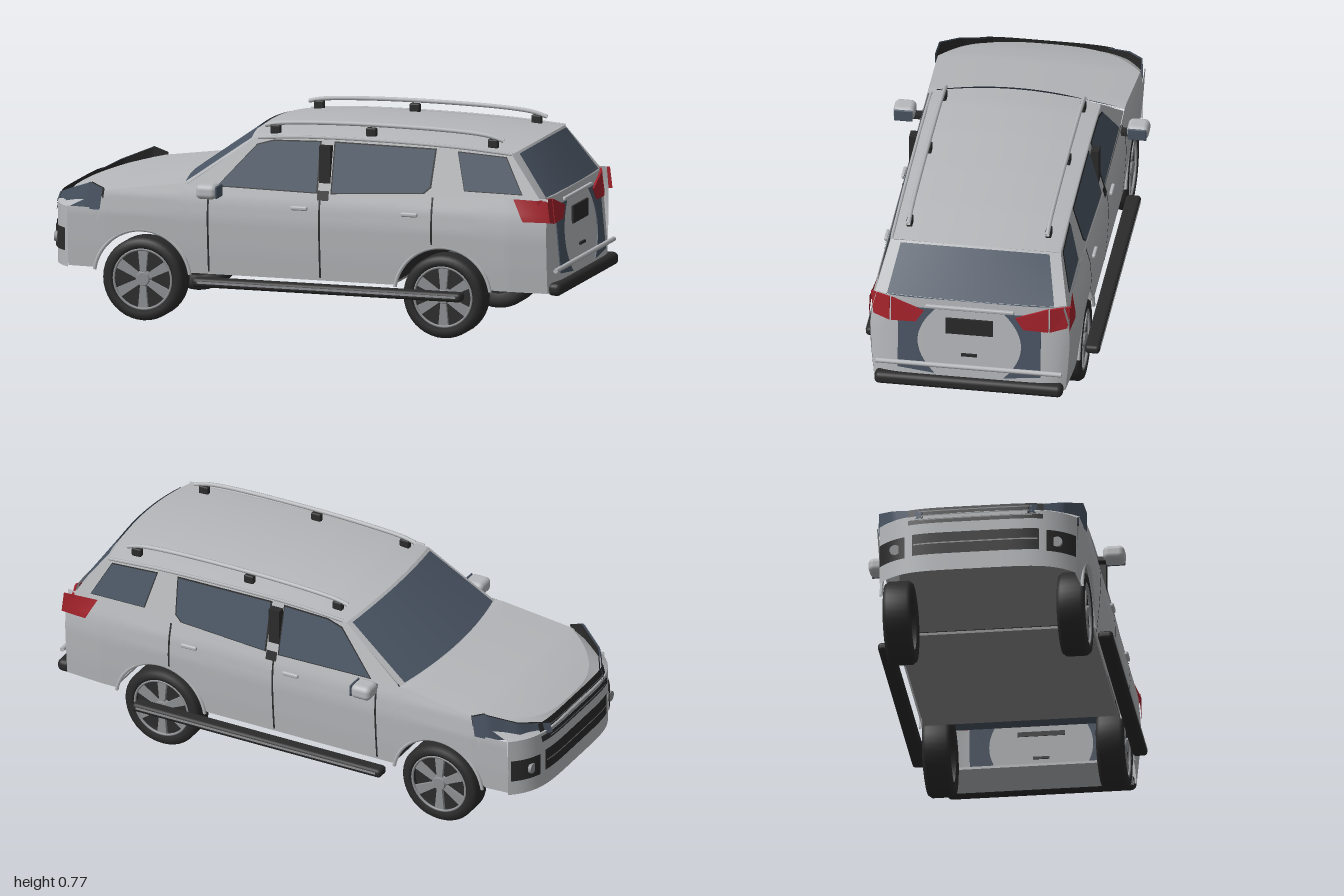
import * as THREE from 'three';
import { RoundedBoxGeometry } from 'three/addons/geometries/RoundedBoxGeometry.js';

const mat = (name, color) => new THREE.MeshStandardMaterial({ name, color, side: THREE.DoubleSide });
const M = {
  paint: mat('silver paint', 0xb6b8bb), glass: mat('tinted glass', 0x4a5564), black: mat('black plastic', 0x2b2b2b),
  red: mat('tail light red', 0xa3222b), rim: mat('wheel metal', 0x8d8f92), under: mat('underbody grey', 0x8c8c8c),
};
const lerp = THREE.MathUtils.lerp;
// piecewise linear profile through [position, value] pairs
function prof(p, x) {
  if (x <= p[0][0]) return p[0][1];
  for (let i = 1; i < p.length; i++) {
    if (x <= p[i][0]) return lerp(p[i - 1][1], p[i][1], (x - p[i - 1][0]) / (p[i][0] - p[i - 1][0]));
  }
  return p[p.length - 1][1];
}
function add(parent, name, geo, m, x = 0, y = 0, z = 0) {
  const o = new THREE.Mesh(geo, m);
  o.name = name;
  o.position.set(x, y, z);
  parent.add(o);
  return o;
}
// grid surface: f(u, v) with u, v in 0..1 gives [x, y, z]
function sheet(nu, nv, f) {
  const pos = [], idx = [];
  for (let i = 0; i <= nu; i++) for (let j = 0; j <= nv; j++) pos.push(...f(i / nu, j / nv));
  for (let i = 0; i < nu; i++) for (let j = 0; j < nv; j++) {
    const a = i * (nv + 1) + j, b = a + nv + 1;
    idx.push(a, b, a + 1, b, b + 1, a + 1);
  }
  const g = new THREE.BufferGeometry();
  g.setAttribute('position', new THREE.Float32BufferAttribute(pos, 3));
  g.setIndex(idx);
  g.computeVertexNormals();
  return g;
}
const polygon = pts => new THREE.Shape(pts.map(p => new THREE.Vector2(...p)));

// body rules
const AXLES = [-0.61, 0.55];
const hoodY = x => prof([[-0.97, 0.437], [-0.88, 0.465], [-0.78, 0.488], [-0.48, 0.53]], x);
const beltY = x => x < -0.78 ? 0.415 : x < -0.46 ? hoodY(x) - 0.01
  : prof([[-0.46, 0.522], [-0.32, 0.513], [0.1, 0.51], [0.6, 0.535], [0.95, 0.54]], x);
const sideZ = (x, y) => prof([[0.18, 0.366], [0.28, 0.376], [0.4, 0.384], [0.47, 0.379], [0.54, 0.36]], y)
  - prof([[-0.9, 0.01], [-0.75, 0], [0.8, 0], [0.95, 0.012]], x);
const cabinZ = y => 0.36 - (y - 0.52) * 0.26;
const roofY = x => prof([[-0.225, 0.715], [-0.1, 0.728], [0.1, 0.735], [0.35, 0.734], [0.6, 0.726], [0.83, 0.71]], x);
const frontX = z => -0.988 + 0.09 * Math.abs(z / 0.365) ** 5;
const hoodFrontX = t => -0.96 + 0.2 * Math.abs(t) ** 3;
const rearX = (z, y) => lerp(0.978, 0.945, (y - 0.19) / 0.35) - 0.028 * Math.abs(z / 0.365) ** 8;
const sillY = x => {
  let y = 0.19;
  for (const c of AXLES) if (Math.abs(x - c) < 0.188) y = Math.max(y, 0.155 + Math.sqrt(0.188 ** 2 - (x - c) ** 2));
  return y;
};
// thin plate laid on the tailgate, drawn in (-z, y)
function rearPlate(shape, depth) {
  const geo = new THREE.ExtrudeGeometry(shape, { depth, bevelEnabled: false, curveSegments: 16 }).rotateY(Math.PI / 2);
  const p = geo.attributes.position;
  for (let i = 0; i < p.count; i++) p.setX(i, p.getX(i) + rearX(p.getZ(i), p.getY(i)));
  geo.computeVertexNormals();
  return geo;
}

function wheel() {
  const g = new THREE.Group();
  g.name = 'wheel';
  // lathe axis runs across the car, outer face towards +z
  const tyre = [[0.1, -0.045], [0.125, -0.053], [0.145, -0.05], [0.155, -0.036], [0.155, 0.036], [0.145, 0.05], [0.125, 0.053], [0.114, 0.046], [0.112, 0.01]];
  add(g, 'tyre', new THREE.LatheGeometry(tyre.map(p => new THREE.Vector2(...p)), 40).rotateX(Math.PI / 2), M.black);
  add(g, 'wheelDish', new THREE.CylinderGeometry(0.112, 0.112, 0.03, 32).rotateX(Math.PI / 2), M.black, 0, 0, 0.005);
  add(g, 'rimRing', new THREE.TorusGeometry(0.111, 0.005, 8, 40), M.rim, 0, 0, 0.044);
  add(g, 'hub', new THREE.CylinderGeometry(0.024, 0.032, 0.02, 20).rotateX(Math.PI / 2), M.rim, 0, 0, 0.038);
  const spoke = polygon([[0.015, -0.01], [0.11, -0.019], [0.11, 0.019], [0.015, 0.01]]);
  for (let i = 0; i < 6; i++) {
    add(g, 'spoke', new THREE.ExtrudeGeometry(spoke, { depth: 0.012, bevelEnabled: false }), M.rim, 0, 0, 0.03).rotation.z = (i + 0.5) * Math.PI / 3;
  }
  return g;
}

function buildSide() {
  const g = new THREE.Group();
  g.name = 'bodySide';
  add(g, 'sidePanel', sheet(190, 14, (u, v) => {
    const x = lerp(-0.9, 0.95, u), y = lerp(sillY(x), beltY(x), v);
    return [x, y, sideZ(x, y)];
  }), M.paint);
  // cabin side with sloping pillars
  add(g, 'cabinSide', sheet(50, 8, (u, v) => {
    const xb = lerp(-0.445, 0.925, u), xt = lerp(-0.195, 0.8, u);
    const y = lerp(beltY(xb) - 0.008, roofY(xt) - 0.02, v);
    return [lerp(xb, xt, v), y, cabinZ(y)];
  }), M.paint);
  const windows = {
    frontWindow: [[-0.32, 0.522], [0.06, 0.517], [0.06, 0.697], [-0.12, 0.692], [-0.18, 0.675]],
    rearWindow: [[0.12, 0.518], [0.47, 0.538], [0.495, 0.56], [0.505, 0.694], [0.12, 0.698]],
    quarterWindow: [[0.63, 0.555], [0.85, 0.553], [0.78, 0.68], [0.595, 0.69]],
  };
  for (const [name, pts] of Object.entries(windows)) {
    for (const [grow, off, m] of [[1.05, 0.002, M.black], [1, 0.005, M.glass]]) {
      const geo = new THREE.ShapeGeometry(polygon(pts)), p = geo.attributes.position;
      geo.computeBoundingBox();
      const c = geo.boundingBox.getCenter(new THREE.Vector3());
      for (let i = 0; i < p.count; i++) {
        const y = c.y + (p.getY(i) - c.y) * grow;
        p.setXYZ(i, c.x + (p.getX(i) - c.x) * lerp(1, grow, 0.6), y, cabinZ(y) + off);
      }
      geo.computeVertexNormals();
      add(g, grow > 1 ? name + 'Seal' : name, geo, m);
    }
  }
  // centre pillar, its foot lying on the door
  add(g, 'centrePillar', new THREE.BoxGeometry(0.044, 0.19, 0.03), M.black, 0.088, 0.594, 0.337);
  add(g, 'centrePillarFoot', sheet(1, 4, (u, v) => {
    const y = lerp(0.49, 0.525, v);
    return [0.066 + u * 0.044, y, sideZ(0, y) + 0.003];
  }), M.black);
  // door gaps
  for (const [x, y0, y1] of [[-0.353, 0.2, 0.51], [0.077, 0.2, 0.5], [0.51, 0.35, 0.525]]) {
    add(g, 'doorGap', sheet(1, 10, (u, v) => {
      const y = lerp(y0, y1, v);
      return [x + (u - 0.5) * 0.007, y, sideZ(x, y) + 0.002];
    }), M.black);
  }
  for (const x of [0, 0.425]) add(g, 'doorHandle', new RoundedBoxGeometry(0.065, 0.016, 0.014, 3, 0.006), M.paint, x, 0.458, 0.386);
  // wheels and arch lips
  for (const x of AXLES) {
    add(g, 'archLip', new THREE.TorusGeometry(0.186, 0.007, 6, 32, Math.PI * 0.9), M.paint, x, 0.155, 0.372).rotation.z = Math.PI * 0.05;
    const w = wheel();
    w.position.set(x, 0.155, 0.322);
    g.add(w);
  }
  // side step
  add(g, 'sideStep', new RoundedBoxGeometry(1.04, 0.034, 0.056, 3, 0.014), M.black, 0.12, 0.166, 0.407);
  add(g, 'stepTrim', new THREE.BoxGeometry(1.0, 0.008, 0.006), M.rim, 0.12, 0.168, 0.433);
  // mirror
  add(g, 'mirrorShell', new RoundedBoxGeometry(0.08, 0.055, 0.08, 4, 0.02), M.paint, -0.335, 0.513, 0.434);
  add(g, 'mirrorGlass', new RoundedBoxGeometry(0.008, 0.046, 0.07, 3, 0.004), M.glass, -0.294, 0.513, 0.434);
  add(g, 'mirrorArm', new THREE.BoxGeometry(0.035, 0.016, 0.06), M.black, -0.33, 0.498, 0.378);
  // roof rail
  const path = new THREE.CatmullRomCurve3([[-0.17, 0.737], [-0.12, 0.748], [0.24, 0.762], [0.68, 0.748], [0.75, 0.73]].map(([x, y]) => new THREE.Vector3(x, y, 0.258)));
  add(g, 'roofRail', new THREE.TubeGeometry(path, 40, 0.008, 8), M.paint);
  for (const x of [-0.13, 0.24, 0.71]) add(g, 'railFoot', new RoundedBoxGeometry(0.04, 0.034, 0.022, 2, 0.006), M.black, x, roofY(x), 0.258);
  const gutter = [-0.18, 0, 0.3, 0.6, 0.8].map(x => new THREE.Vector3(x, roofY(x) - 0.02, 0.313));
  add(g, 'roofGutter', new THREE.TubeGeometry(new THREE.CatmullRomCurve3(gutter), 30, 0.006, 6), M.paint);
  // head lamp wraps round the corner, with a dark housing behind it
  const lampX = [[0, -0.77], [0.3, -0.83], [0.65, -0.925], [1, -0.995]], lampZ = [[0, 0.386], [0.3, 0.376], [0.65, 0.315], [1, 0.2]];
  const lampTop = [[0, 0.49], [0.25, 0.51], [0.65, 0.468], [1, 0.432]];
  for (const [name, dx, dz, m] of [['headLamp', 0, 0, M.glass], ['headLampHousing', 0.006, -0.006, M.black]]) {
    add(g, name, sheet(20, 3, (u, v) => [
      prof(lampX, u) + dx + 0.012 * v, lerp(lerp(0.41, 0.397, u), prof(lampTop, u), v), prof(lampZ, u) + dz,
    ]), m);
  }
  // fog lamp pocket
  add(g, 'fogPocket', sheet(10, 2, (u, v) => { const z = lerp(0.26, 0.36, u); return [frontX(z) - 0.006, lerp(0.245, 0.33, v), z + 0.003]; }), M.black);
  add(g, 'fogLamp', new THREE.CylinderGeometry(0.02, 0.02, 0.012, 18).rotateZ(Math.PI / 2), M.rim, frontX(0.3) - 0.008, 0.285, 0.3);
  // tail lamp: two rear lenses and a side lens
  add(g, 'tailLampInner', rearPlate(polygon([[-0.17, 0.49], [-0.2, 0.445], [-0.292, 0.44], [-0.292, 0.533]]), 0.009), M.red);
  add(g, 'tailLampOuter', rearPlate(polygon([[-0.298, 0.533], [-0.298, 0.44], [-0.36, 0.452], [-0.372, 0.535]]), 0.009), M.red);
  add(g, 'tailLampSide', sheet(8, 6, (u, v) => {
    const y = lerp(0.455, 0.535, v);
    return [lerp(lerp(0.862, 0.82, v), lerp(0.965, 0.955, v), u), y, lerp(sideZ(0.85, y) + 0.004, 0.372, u)];
  }), M.red);
  // dark curved tailgate panel
  const panel = new THREE.Shape();
  panel.moveTo(-0.265, 0.5);
  panel.lineTo(-0.265, 0.25);
  panel.lineTo(-0.13, 0.236);
  panel.quadraticCurveTo(-0.255, 0.367, -0.13, 0.498);
  add(g, 'tailgatePanel', rearPlate(panel, 0.004), M.glass);
  return g;
}

export function createModel() {
  const car = new THREE.Group();
  car.name = 'car';
  const side = buildSide(), other = side.clone();
  other.scale.z = -1;
  car.add(side, other);
  // bonnet, the ledge in front of it, and roof
  const bonnet = (t, x) => [x, hoodY(x) - 0.01 * t * t, t * sideZ(x, hoodY(x) - 0.01)];
  add(car, 'bonnet', sheet(16, 32, (u, v) => {
    const t = v * 2 - 1;
    return bonnet(t, lerp(hoodFrontX(t), -0.49 + 0.045 * t * t, u));
  }), M.paint);
  add(car, 'bumperLedge', sheet(4, 32, (u, v) => {
    const t = v * 2 - 1, z = t * 0.365, b = bonnet(t, hoodFrontX(t));
    return [lerp(frontX(z), b[0], u), lerp(0.41, b[1], u), lerp(z, b[2], u)];
  }), M.paint);
  add(car, 'roof', sheet(40, 24, (u, v) => {
    const t = v * 2 - 1, x = lerp(-0.225 + 0.03 * t * t, 0.83 - 0.03 * t * t, u);
    return [x, roofY(x) - 0.02 * t * t, t * cabinZ(roofY(x) - 0.02)];
  }), M.paint);
  // windscreen and rear window, each a painted frame with glass laid on it
  const screen = (s, xb, cb, yb, xt, ct, yt) => (inset, lo, hi, off) => sheet(8, 24, (u, v) => {
    const t = (v * 2 - 1) * inset, k = lerp(lo, hi, u), y = lerp(yb - 0.008 * t * t, yt - 0.02 * t * t, k);
    return [lerp(xb - s * cb * t * t, xt - s * ct * t * t, k) + s * off, y + off, t * cabinZ(lerp(yb - 0.008, yt - 0.02, k))];
  });
  const front = screen(-1, -0.49, 0.045, 0.527, -0.225, 0.03, 0.715);
  const back = screen(1, 0.945, 0.025, 0.54, 0.83, 0.03, 0.71);
  add(car, 'windscreenFrame', front(1, 0, 1, 0), M.paint);
  add(car, 'windscreen', front(0.94, 0.01, 0.965, 0.004), M.glass);
  add(car, 'rearWindowFrame', back(1, 0, 1, 0), M.paint);
  add(car, 'rearWindow', back(0.87, 0, 0.95, 0.004), M.glass);
  // front end
  const nose = (name, w, y0, y1, off, m, lean = 0) => add(car, name, sheet(32, 4, (u, v) => {
    const z = (u * 2 - 1) * w;
    return [frontX(z) - off + lean * v, lerp(y0, y1, v), z];
  }), m);
  nose('frontBumper', 0.365, 0.185, 0.41, 0, M.paint);
  nose('lowerIntake', 0.235, 0.25, 0.335, 0.005, M.black);
  nose('intakeBar', 0.23, 0.29, 0.295, 0.009, M.rim);
  nose('grille', 0.25, 0.375, 0.445, 0.006, M.black, 0.02);
  for (let i = 0; i < 3; i++) nose('grilleSlat', 0.21, 0.387 + i * 0.019, 0.391 + i * 0.019, 0.01 - i * 0.005, M.rim);
  // tailgate and rear bumper
  add(car, 'tailgate', sheet(40, 8, (u, v) => {
    const z = (u * 2 - 1) * 0.365, y = lerp(0.19, 0.538, v);
    return [rearX(z, y), y, z * sideZ(0.95, y) / 0.365];
  }), M.paint);
  add(car, 'plate', new THREE.BoxGeometry(0.008, 0.065, 0.176), M.black, 0.96, 0.437, 0);
  add(car, 'tailgateHandle', new THREE.BoxGeometry(0.01, 0.01, 0.06), M.black, 0.968, 0.32, 0);
  add(car, 'tailgateTrim', new RoundedBoxGeometry(0.016, 0.014, 0.33, 2, 0.005), M.paint, 0.95, 0.508, 0);
  add(car, 'rearBar', new THREE.CylinderGeometry(0.009, 0.009, 0.69, 12).rotateX(Math.PI / 2), M.paint, 0.978, 0.272, 0);
  add(car, 'rearBumper', new RoundedBoxGeometry(0.055, 0.048, 0.7, 4, 0.02), M.black, 0.972, 0.202, 0);
  // underside
  add(car, 'floor', new THREE.BoxGeometry(0.78, 0.012, 0.72), M.under, -0.03, 0.196, 0);
  add(car, 'rearFloor', new THREE.BoxGeometry(0.4, 0.01, 0.7), M.glass, 0.55, 0.352, 0);
  add(car, 'bulkhead', new THREE.BoxGeometry(0.01, 0.3, 0.7), M.black, -0.42, 0.35, 0);
  add(car, 'rearBulkhead', new THREE.BoxGeometry(0.01, 0.15, 0.7), M.black, 0.358, 0.275, 0);
  add(car, 'rearApron', new THREE.BoxGeometry(0.21, 0.01, 0.69), M.paint, 0.85, 0.19, 0);
  return car;
}
